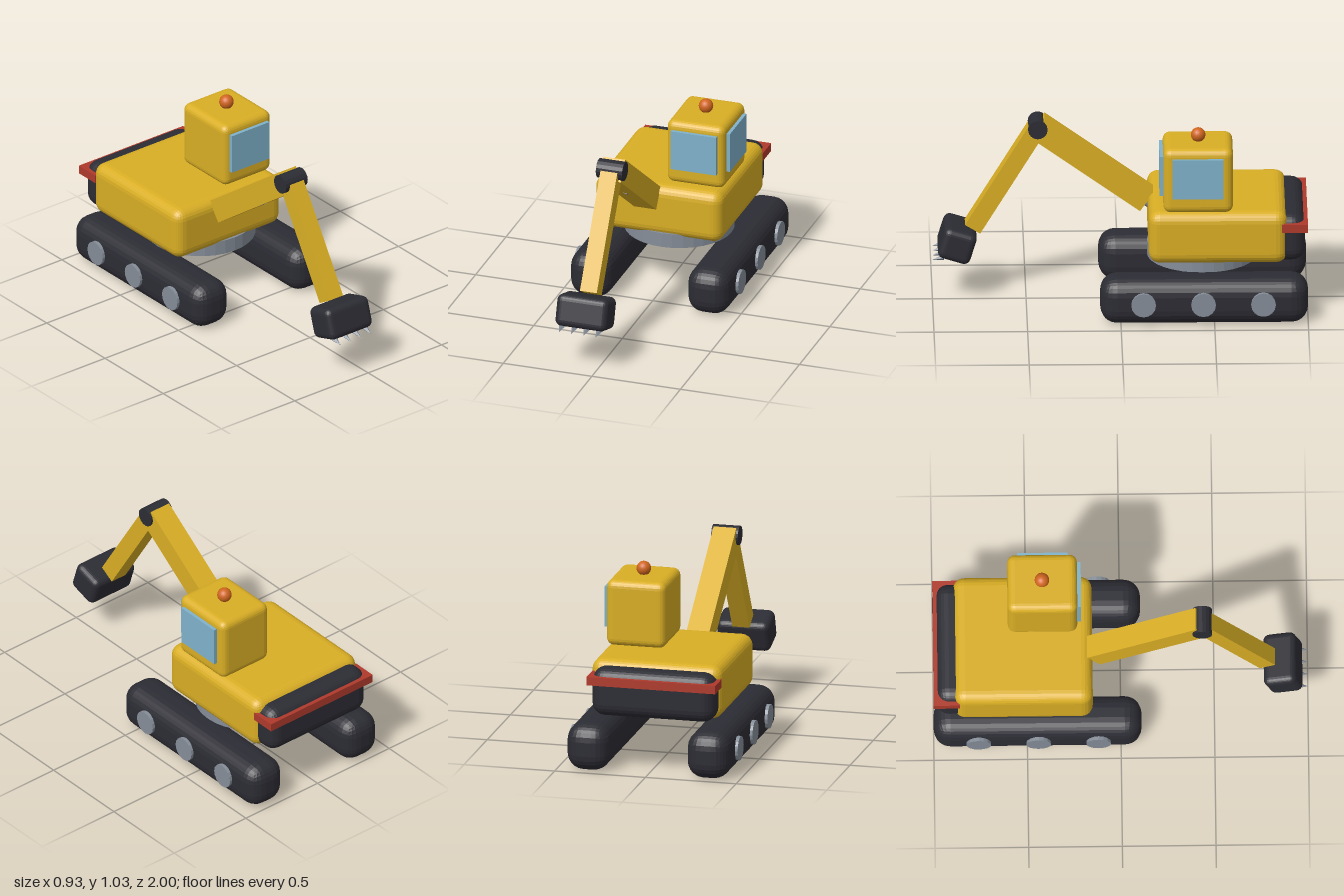
import * as THREE from 'three';
import { RoundedBoxGeometry } from 'three/addons/geometries/RoundedBoxGeometry.js';

const material = (name, color, flatShading = true) => {
  const m = new THREE.MeshStandardMaterial({ color, flatShading });
  m.name = name;
  return m;
};

export function createModel() {
  const yellow = material('yellow paint', 0xd9ae24);
  const dark = material('dark rubber', 0x2c2c34);
  const grey = material('grey steel', 0x858d98);
  const glass = material('blue glass', 0x7fb2cb);
  const red = material('red stripe', 0xb03a2c);
  const orange = material('orange lamp', 0xd0651f, false);

  const model = new THREE.Group();
  model.name = 'excavator';

  const add = (name, geometry, mat, x, y, z) => {
    const mesh = new THREE.Mesh(geometry, mat);
    mesh.name = name;
    mesh.position.set(x, y, z);
    model.add(mesh);
    return mesh;
  };
  const rounded = (w, h, d, r) => new RoundedBoxGeometry(w, h, d, 3, r);
  const armX = -0.08;

  // Places a part that lies along local y between two [y, z] points
  const span = (name, makeGeometry, mat, a, b) => {
    const from = new THREE.Vector3(armX, ...a);
    const to = new THREE.Vector3(armX, ...b);
    const dir = to.clone().sub(from);
    const mid = from.add(to).multiplyScalar(0.5);
    const mesh = add(name, makeGeometry(dir.length()), mat, mid.x, mid.y, mid.z);
    mesh.rotation.x = Math.atan2(dir.z, dir.y);
    return mesh;
  };

  // Tracks with three wheel hubs on each outer side
  for (const side of [1, -1]) {
    const label = side > 0 ? 'left' : 'right';
    add(label + 'Track', rounded(0.235, 0.256, 1.11, 0.09), dark, side * 0.331, 0.128, -0.445);
    for (const z of [-0.12, -0.44, -0.76]) {
      const hub = add(label + 'Wheel', new THREE.CylinderGeometry(0.066, 0.066, 0.06, 16), grey, side * 0.434, 0.129, z);
      hub.rotation.z = Math.PI / 2;
    }
  }

  // Slewing ring and house
  add('turntable', new THREE.CylinderGeometry(0.295, 0.295, 0.08, 32), grey, 0, 0.293, -0.44);
  add('body', rounded(0.719, 0.293, 0.74, 0.06), yellow, -0.027, 0.4535, -0.52);
  add('counterweight', rounded(0.68, 0.262, 0.22, 0.07), dark, -0.03, 0.441, -0.876);
  add('rearStripe', new THREE.BoxGeometry(0.71, 0.046, 0.14), red, -0.03, 0.511, -0.93);

  // Cab with front and side glass, and a lamp on the roof
  add('cab', rounded(0.327, 0.362, 0.372, 0.04), yellow, 0.159, 0.778, -0.414);
  add('frontWindow', new THREE.BoxGeometry(0.256, 0.222, 0.03), glass, 0.158, 0.8, -0.223);
  add('sideWindow', new THREE.BoxGeometry(0.03, 0.222, 0.272), glass, 0.326, 0.8, -0.412);
  add('beacon', new THREE.SphereGeometry(0.039, 20, 14), orange, 0.158, 0.99, -0.416);

  // Boom, stick, elbow pin and hydraulic ram
  const elbow = [0.957, 0.437];
  span('boom', (l) => new THREE.BoxGeometry(0.125, l, 0.125), yellow, [0.538, -0.145], elbow);
  span('stick', (l) => new THREE.BoxGeometry(0.095, l, 0.095), yellow, elbow, [0.383, 0.785]);
  span('ram', (l) => new THREE.CylinderGeometry(0.026, 0.026, l, 12), grey, [0.51, -0.16], [0.737, 0.2]);
  const pin = add('elbowPin', new THREE.CylinderGeometry(0.052, 0.052, 0.148, 16), dark, armX, ...elbow);
  pin.rotation.z = Math.PI / 2;

  // Bucket and its row of teeth
  const bucket = add('bucket', rounded(0.29, 0.175, 0.18, 0.035), dark, armX, 0.313, 0.868);
  bucket.rotation.x = -0.3;
  for (let i = 0; i < 4; i++) {
    const tooth = add('tooth', new THREE.ConeGeometry(0.018, 0.06, 4), grey, -0.186 + i * 0.069, 0.238, 0.971);
    tooth.rotation.x = Math.PI / 2 + 0.25;
  }

  return model;
}
